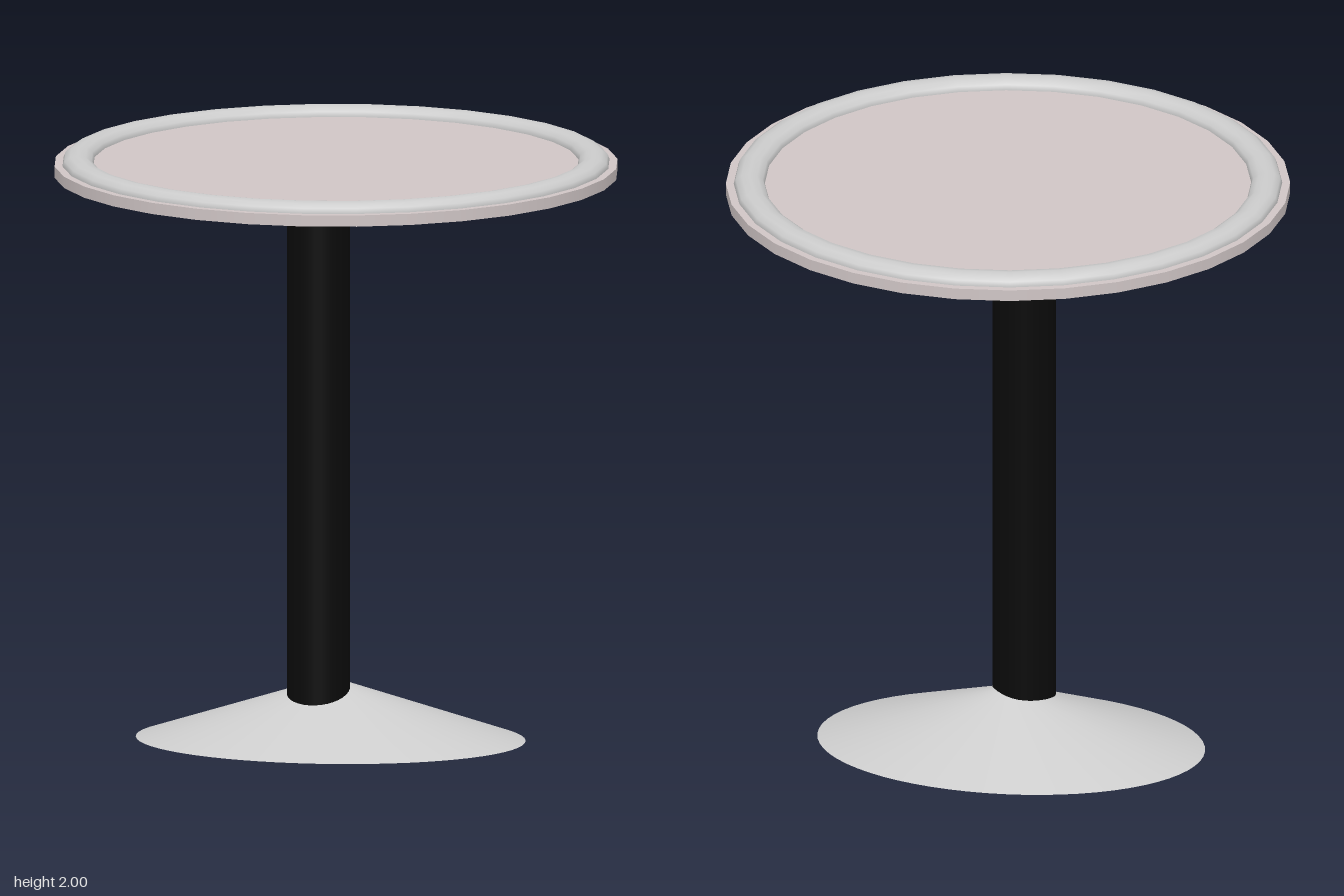
import * as THREE from 'three';

const paint = (color) => new THREE.MeshStandardMaterial({ color });

function addPart(group, name, geometry, color, x, y, z) {
  const mesh = new THREE.Mesh(geometry, paint(color));
  mesh.name = name;
  mesh.position.set(x, y, z);
  group.add(mesh);
  return mesh;
}

export function createModel() {
  const table = new THREE.Group();
  table.name = 'pedestalTable';

  // Round table top
  addPart(table, 'tableTop', new THREE.CylinderGeometry(0.937, 0.937, 0.038, 32), 0xcfc5c5, 0, 1.947, 0);

  // Raised, slightly flattened rim around the top
  const rim = new THREE.TorusGeometry(0.859, 0.052, 12, 32);
  rim.rotateX(-Math.PI / 2);
  rim.scale(1, 0.68, 1);
  addPart(table, 'rim', rim, 0xc4c6c4, 0, 1.965, 0);

  // Off-centre column, stopping just short of the top
  const columnBottom = 0.02, columnTop = 1.9;
  addPart(table, 'column',
    new THREE.CylinderGeometry(0.105, 0.105, columnTop - columnBottom, 32),
    0x0a0a0a, -0.065, (columnTop + columnBottom) / 2, -0.055);

  // Elliptical cone foot
  const foot = new THREE.ConeGeometry(1, 0.21, 64);
  foot.scale(0.65, 1, 0.45);
  addPart(table, 'foot', foot, 0xcccccc, -0.03, 0.105, -0.1);

  return table;
}
